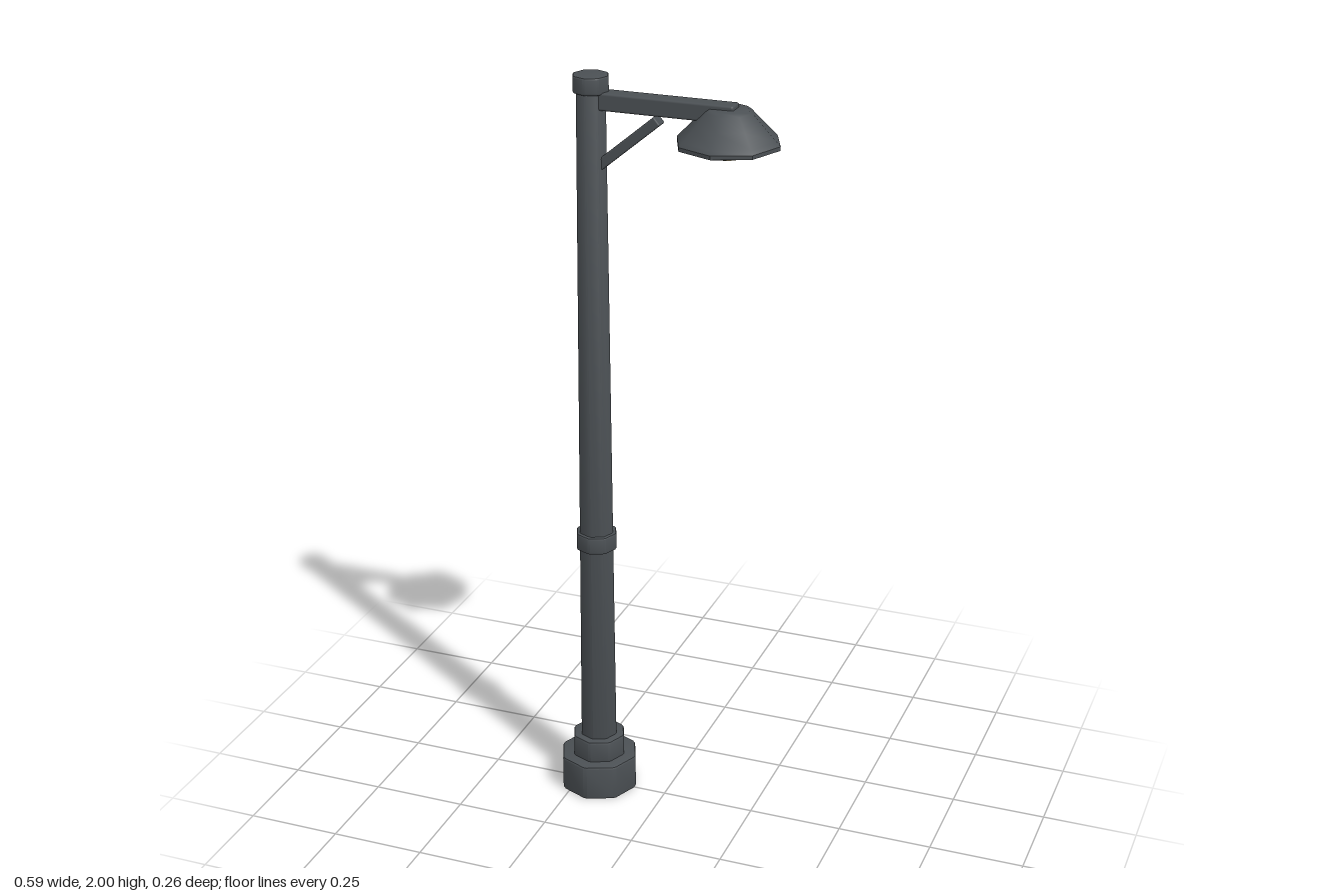
import * as THREE from 'three';
import { RoundedBoxGeometry } from 'three/addons/geometries/RoundedBoxGeometry.js';
import { toCreasedNormals } from 'three/addons/utils/BufferGeometryUtils.js';

const POLE_X = -0.192, LAMP_X = 0.164;

// Upright eight-sided prism with softened edges, optionally tapering to the top
function octPrism(r, y0, y1, bevel, rTop = r) {
  const points = [];
  const inner = r - bevel;
  const corner = i => new THREE.Vector2(Math.cos(i * Math.PI / 4), Math.sin(i * Math.PI / 4)).multiplyScalar(inner);
  for (let i = 0; i < 8; i++) {
    points.push(corner(i).lerp(corner(i - 1), 0.06), corner(i).lerp(corner(i + 1), 0.06));
  }
  const geo = new THREE.ExtrudeGeometry(new THREE.Shape(points), {
    depth: y1 - y0 - 2 * bevel, bevelEnabled: true, bevelSize: bevel, bevelThickness: bevel, bevelSegments: 2,
  });
  geo.rotateX(-Math.PI / 2).translate(0, y0 + bevel, 0);
  const pos = geo.attributes.position;
  for (let i = 0; i < pos.count; i++) {
    const s = THREE.MathUtils.lerp(1, rTop / r, (pos.getY(i) - y0) / (y1 - y0));
    pos.setXYZ(i, pos.getX(i) * s, pos.getY(i), pos.getZ(i) * s);
  }
  return toCreasedNormals(geo, 0.5);
}

// Eight-sided turned part from [radius, height] pairs, listed bottom to top
function octLathe(profile, crease) {
  const geo = new THREE.LatheGeometry(profile.map(([r, y]) => new THREE.Vector2(r, y)), 8);
  return toCreasedNormals(geo, crease);
}

export function createModel() {
  const group = new THREE.Group();
  group.name = 'streetLamp';
  const metal = new THREE.MeshStandardMaterial({ color: 0x4b5054 });
  metal.name = 'dark grey metal';
  const glow = new THREE.MeshStandardMaterial({ color: 0xd6c79c });
  glow.name = 'warm bulb';

  const add = (name, geo, x, y = 0, material = metal) => {
    const mesh = new THREE.Mesh(geo, material);
    mesh.name = name;
    mesh.position.set(x, y, 0);
    group.add(mesh);
    return mesh;
  };

  // Post, from the ground up
  add('base', octPrism(0.107, 0, 0.1, 0.006), POLE_X);
  add('baseStep', octPrism(0.073, 0.09, 0.16, 0.006), POLE_X);
  add('pole', octPrism(0.051, 0.15, 1.97, 0.003, 0.039), POLE_X);
  add('collar', octPrism(0.056, 0.722, 0.77, 0.005), POLE_X);
  add('cap', octPrism(0.047, 1.955, 2, 0.005), POLE_X);

  // Horizontal arm
  const armEnd = 0.183;
  add('arm', new RoundedBoxGeometry(armEnd - POLE_X, 0.045, 0.047, 2, 0.006), (armEnd + POLE_X) / 2, 1.938);

  // Diagonal brace, running from inside the pole
  const low = new THREE.Vector2(-0.18, 1.764), high = new THREE.Vector2(-0.014, 1.903);
  const brace = add('brace', new RoundedBoxGeometry(low.distanceTo(high), 0.026, 0.036, 2, 0.004),
    (low.x + high.x) / 2, (low.y + high.y) / 2);
  brace.rotation.z = high.clone().sub(low).angle();

  // Lamp shade with a thin brim and closed underside
  add('lampShade', octLathe([
    [0, 1.862], [0.122, 1.862], [0.126, 1.856], [0.132, 1.858], [0.132, 1.868],
    [0.122, 1.878], [0.09, 1.911], [0.06, 1.942], [0.05, 1.949], [0, 1.95],
  ], 0.65), LAMP_X);

  // Bulb below the shade
  add('bulb', octLathe([
    [0, 1.823], [0.035, 1.829], [0.064, 1.842], [0.077, 1.864],
  ], 0.4), LAMP_X, 0, glow);

  return group;
}
